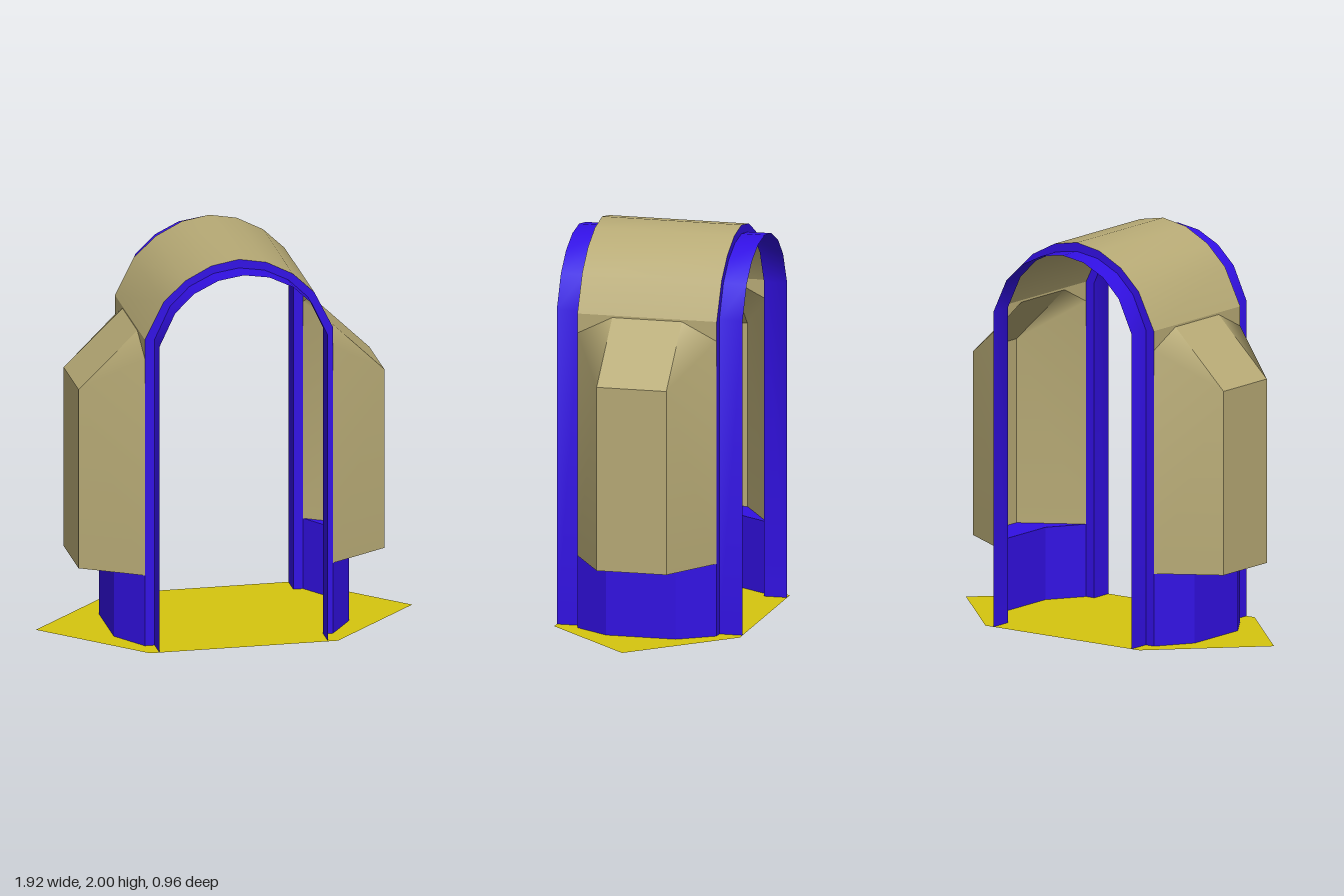
import * as THREE from 'three';
import { toCreasedNormals } from 'three/addons/utils/BufferGeometryUtils.js';

const paint = (name, color) => {
  const m = new THREE.MeshStandardMaterial({ color, side: THREE.DoubleSide });
  m.name = name;
  return m;
};

// Sheet spanned between two polylines of equal length
function loft(a, b, crease = 0.6) {
  const pos = [];
  for (let i = 0; i < a.length - 1; i++) {
    pos.push(...a[i], ...b[i], ...b[i + 1], ...a[i], ...b[i + 1], ...a[i + 1]);
  }
  const g = new THREE.BufferGeometry();
  g.setAttribute('position', new THREE.Float32BufferAttribute(pos, 3));
  return toCreasedNormals(g, crease);
}

// Smoothly shaded panel fanned from its first corner
function fan(points) {
  const g = new THREE.BufferGeometry();
  g.setAttribute('position', new THREE.Float32BufferAttribute(points.flat(), 3));
  const index = [];
  for (let i = 1; i < points.length - 1; i++) index.push(0, i, i + 1);
  g.setIndex(index);
  g.computeVertexNormals();
  return g;
}

// Complete a half profile (right foot to crown) into a full arch
const mirrorArch = (half) => [...half, ...half.slice(0, -1).reverse().map(([x, y]) => [-x, y])];
const atZ = (profile, z) => profile.map(([x, y]) => [x, y, z]);
const atY = (plan, y) => plan.map(([x, z]) => [x, y, z]);

export function createModel() {
  const tan = paint('tan', 0xb8ab76);
  const blue = paint('blue', 0x3210e4);
  const yellow = paint('yellow', 0xd6c60f);

  const model = new THREE.Group();
  model.name = 'archedShelter';
  const add = (parent, name, geometry, material) => {
    const mesh = new THREE.Mesh(geometry, material);
    mesh.name = name;
    parent.add(mesh);
  };

  // Ground sheet
  const floor = new THREE.Shape([[0.96, 0], [0.48, 0.48], [-0.48, 0.48], [-0.96, 0], [-0.48, -0.48], [0.48, -0.48]]
    .map(([x, y]) => new THREE.Vector2(x, y)));
  add(model, 'groundSheet', new THREE.ShapeGeometry(floor).rotateX(-Math.PI / 2), yellow);

  // Arch profiles: the roof is slightly larger than the end bands
  const roof = mirrorArch([[0.48, 1.61], [0.385, 1.8], [0.275, 1.905], [0.14, 1.975], [0, 2]]);
  const outer = [[0.48, 0], ...roof, [-0.48, 0]];
  const band = mirrorArch([[0.43, 0], [0.43, 1.61], [0.35, 1.78], [0.252, 1.875], [0.13, 1.935], [0, 1.955]]);
  add(model, 'roof', loft(atZ(roof, 0.36), atZ(roof, -0.36)), tan);

  // Each half turn adds one end frame and one side bay
  for (const [side, turn] of [['front', 0], ['back', Math.PI]]) {
    const half = new THREE.Group();
    half.name = side + 'Half';
    half.rotation.y = turn;
    model.add(half);

    // End frame: a narrow band and the step up to the roof
    add(half, 'archBand', loft(atZ(band, 0.48), atZ(band, 0.36)), blue);
    add(half, 'archStep', loft(atZ(band, 0.36), atZ(outer, 0.36)), blue);

    // Side bay: low wall, ledge, outer wall, sloped top and cheeks
    const wall = [[0.48, 0.36], [0.6, 0.18], [0.6, -0.18], [0.48, -0.36]];
    const bay = [[0.48, 0.36], [0.78, 0.18], [0.78, -0.18], [0.48, -0.36]];
    add(half, 'lowWall', loft(atY(wall, 0.37), atY(wall, 0), 0.1), blue);
    add(half, 'bayLedge', loft(atY(wall, 0.37), atY(bay, 0.37)), blue);
    const edge = (x, y) => [[x, y, 0.18], [x, y, -0.18]];
    add(half, 'bayWall', loft(edge(0.78, 1.31), edge(0.78, 0.37)), tan);
    add(half, 'bayTop', loft(edge(0.48, 1.6), edge(0.78, 1.31)), tan);
    const cheek = [[0.78, 1.31, 0.18], [0.48, 1.6, 0.18], [0.48, 1.51, 0.36], [0.48, 0.37, 0.36], [0.78, 0.37, 0.18]];
    add(half, 'bayCheekFront', fan(cheek), tan);
    const [tip, ...rest] = cheek.map(([x, y, z]) => [x, y, -z]);
    add(half, 'bayCheekBack', fan([tip, ...rest.reverse()]), tan);

    // Filler between the bay top and the roof's lower edge
    const lower = [[0.48, 1.51, 0.36], [0.48, 1.6, 0.18], [0.48, 1.6, -0.18], [0.48, 1.51, -0.36]];
    add(half, 'roofSkirt', loft(lower.map(([x, , z]) => [x, 1.61, z]), lower), tan);
  }
  return model;
}
